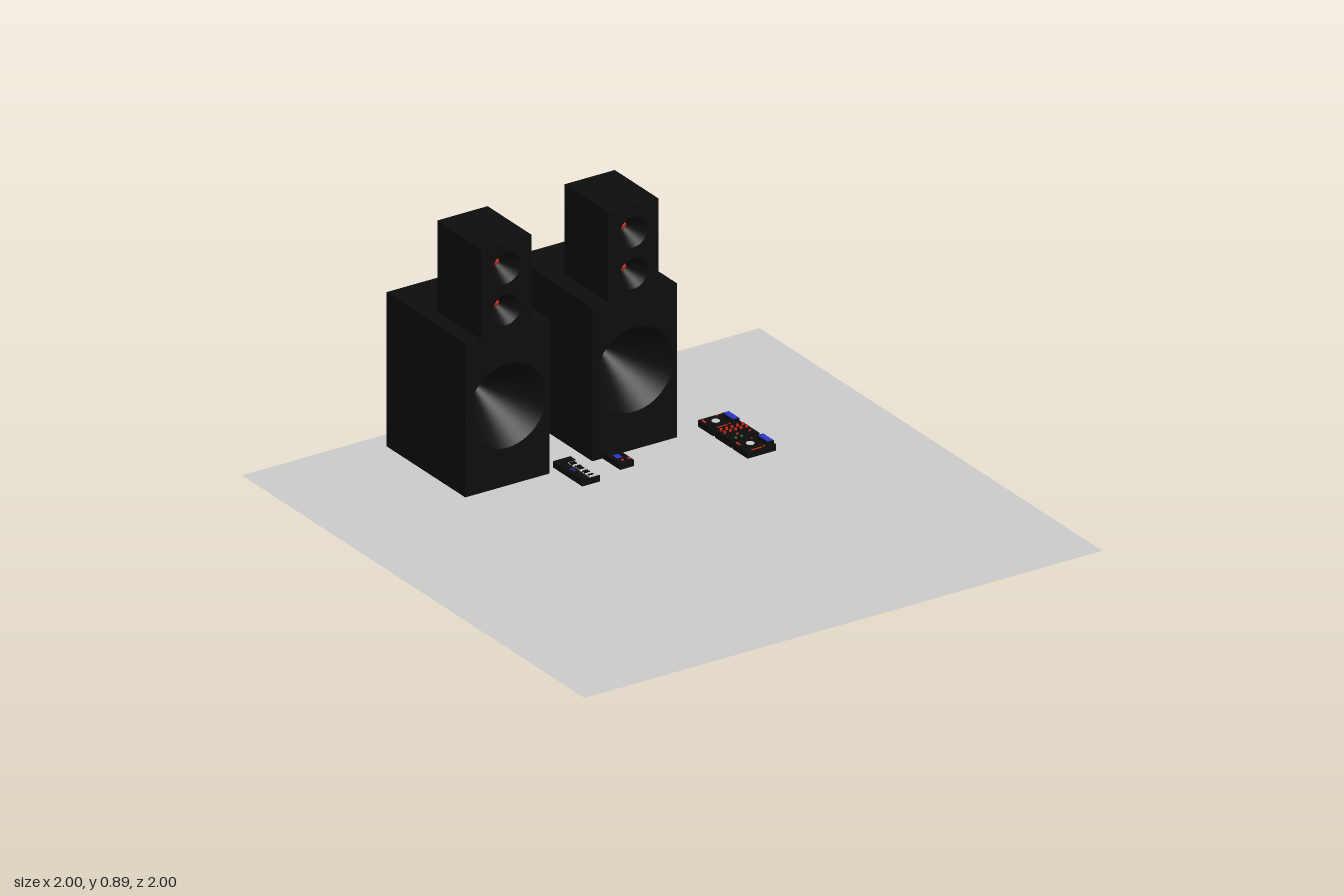
import * as THREE from 'three';

const mat = (color, side = THREE.FrontSide) => new THREE.MeshStandardMaterial({ color, side });
const black = mat(0x0d0d0d), blackInner = mat(0x0d0d0d, THREE.DoubleSide);
const red = mat(0xcc2a14), blue = mat(0x2a35c8), white = mat(0xdddddd), green = mat(0x1f9a30);
const silver = mat(0xcccccc), floorMat = mat(0xcccccc, THREE.DoubleSide);

function add(parent, name, geometry, material, x = 0, y = 0, z = 0) {
  const m = new THREE.Mesh(geometry, material);
  m.name = name;
  m.position.set(x, y, z);
  parent.add(m);
  return m;
}

// box standing on y, centred on x and z
function block(parent, name, w, h, d, material, x, y, z) {
  return add(parent, name, new THREE.BoxGeometry(w, h, d), material, x, y + h / 2, z);
}

// small upright cylinder standing on y
function knob(parent, name, r, h, material, x, y, z, sides = 12) {
  return add(parent, name, new THREE.CylinderGeometry(r, r, h, sides), material, x, y + h / 2, z);
}

// cabinet whose front face is pierced by conical drivers; origin at bottom centre of the front
function cabinet(name, w, h, d, drivers) {
  const g = new THREE.Group();
  g.name = name;
  const shell = new THREE.BoxGeometry(w, h, d);
  const index = Array.from(shell.index.array);
  index.splice(24, 6); // remove the front face
  shell.setIndex(index);
  shell.clearGroups();
  add(g, 'cabinetShell', shell, black, 0, h / 2, -d / 2);

  const front = new THREE.Shape();
  front.moveTo(-w / 2, 0).lineTo(w / 2, 0).lineTo(w / 2, h).lineTo(-w / 2, h).closePath();
  for (const { y, r, depth, ball } of drivers) {
    front.holes.push(new THREE.Path().absarc(0, y, r, 0, Math.PI * 2, true));
    const cone = new THREE.CylinderGeometry(r, 0.004, depth, 48, 1, true).rotateX(Math.PI / 2);
    add(g, 'driverCone', cone, blackInner, 0, y, -depth / 2);
    add(g, 'driverCap', new THREE.SphereGeometry(ball, 20, 14), red, 0, y, -depth + ball);
  }
  add(g, 'frontBaffle', new THREE.ShapeGeometry(front, 24), black);
  return g;
}

function speaker(x) {
  const g = new THREE.Group();
  g.name = 'speakerStack';
  const woofer = cabinet('wooferCabinet', 0.326, 0.57, 0.46,
    [{ y: 0.305, r: 0.15, depth: 0.22, ball: 0.015 }]);
  const top = cabinet('tweeterCabinet', 0.194, 0.323, 0.255,
    [0.08, 0.228].map(y => ({ y, r: 0.055, depth: 0.085, ball: 0.015 })));
  top.position.set(-0.007, 0.57, 0.003);
  g.add(woofer, top);
  g.position.set(x, 0, -0.465);
  return g;
}

// deck with jog wheel and screen
function player(z) {
  const g = new THREE.Group();
  g.name = 'deckPlayer';
  block(g, 'deckBody', 0.11, 0.023, 0.088, black, 0, 0, 0);
  knob(g, 'jogWheel', 0.03, 0.004, black, -0.016, 0.023, 0, 32);
  knob(g, 'jogPlate', 0.014, 0.002, silver, -0.016, 0.027, 0, 24);
  block(g, 'screenHousing', 0.026, 0.008, 0.064, black, 0.042, 0.023, 0);
  block(g, 'screen', 0.021, 0.002, 0.055, blue, 0.043, 0.031, 0);
  for (const dz of [-0.03, -0.018]) knob(g, 'cueButton', 0.004, 0.003, red, -0.046, 0.023, dz);
  for (const dz of [-0.036, 0.036]) knob(g, 'loopButton', 0.003, 0.003, red, 0.014, 0.023, dz);
  block(g, 'tempoSlider', 0.04, 0.002, 0.004, red, -0.016, 0.023, 0.038);
  g.position.set(0.155, 0.303, z);
  return g;
}

// mixer with rows of knobs and faders
function mixer(z) {
  const g = new THREE.Group();
  g.name = 'mixer';
  block(g, 'mixerBody', 0.11, 0.025, 0.092, black, 0, 0, 0);
  for (let i = 0; i < 5; i++)
    for (const dz of [-0.034, -0.013]) knob(g, 'mixerKnob', 0.0045, 0.008, red, -0.04 + i * 0.021, 0.025, dz);
  for (let i = 0; i < 4; i++) {
    const x = -0.036 + i * 0.024;
    block(g, 'faderSlot', 0.003, 0.001, 0.026, black, x, 0.025, 0.015);
    block(g, 'faderCap', 0.008, 0.006, 0.004, i % 2 ? red : black, x, 0.025, 0.01 + (i % 2) * 0.008);
  }
  for (const x of [-0.03, -0.008]) knob(g, 'cueLight', 0.004, 0.003, green, x, 0.025, 0.037);
  g.position.set(0.155, 0.303, z);
  return g;
}

// small keyboard, keys along +x
function keyboard() {
  const g = new THREE.Group();
  g.name = 'keyboard';
  block(g, 'keyboardBody', 0.068, 0.022, 0.172, black, 0, 0, 0);
  const n = 12, pitch = 0.0107;
  for (let i = 0; i < n; i++) {
    const z = -0.04 + i * pitch;
    block(g, 'whiteKey', 0.036, 0.004, pitch * 0.82, white, 0.015, 0.022, z);
    if (![2, 6, 9, 11].includes(i))
      block(g, 'blackKey', 0.02, 0.007, pitch * 0.55, black, 0.007, 0.022, z + pitch / 2);
  }
  block(g, 'keyboardScreen', 0.01, 0.002, 0.018, blue, -0.018, 0.022, 0.005);
  for (let i = 0; i < 6; i++) knob(g, 'keyboardKnob', 0.004, 0.006, black, -0.026, 0.022, -0.07 + i * 0.028);
  g.position.set(-0.425, 0.303, 0.084);
  return g;
}

// pad controller
function padUnit() {
  const g = new THREE.Group();
  g.name = 'padController';
  block(g, 'padBody', 0.054, 0.022, 0.104, black, 0, 0, 0);
  block(g, 'padScreen', 0.02, 0.002, 0.026, blue, -0.004, 0.022, 0.002);
  for (let i = 0; i < 4; i++) {
    const x = -0.018 + i * 0.012;
    block(g, 'drumPad', 0.008, 0.003, 0.008, i % 2 ? red : black, x, 0.022, 0.034);
    knob(g, 'padKnob', 0.004, 0.006, black, x, 0.022, -0.036);
  }
  g.position.set(-0.262, 0.303, 0.082);
  return g;
}

export function createModel() {
  const model = new THREE.Group();
  model.name = 'soundStage';
  // thin stage sheet, the speakers reach just below it
  add(model, 'stageSheet', new THREE.PlaneGeometry(2, 2).rotateX(-Math.PI / 2), floorMat, 0, 0.02, 0);
  model.add(speaker(-0.328), speaker(0.163));
  model.add(player(0.045), mixer(0.147), player(0.246), keyboard(), padUnit());
  return model;
}
